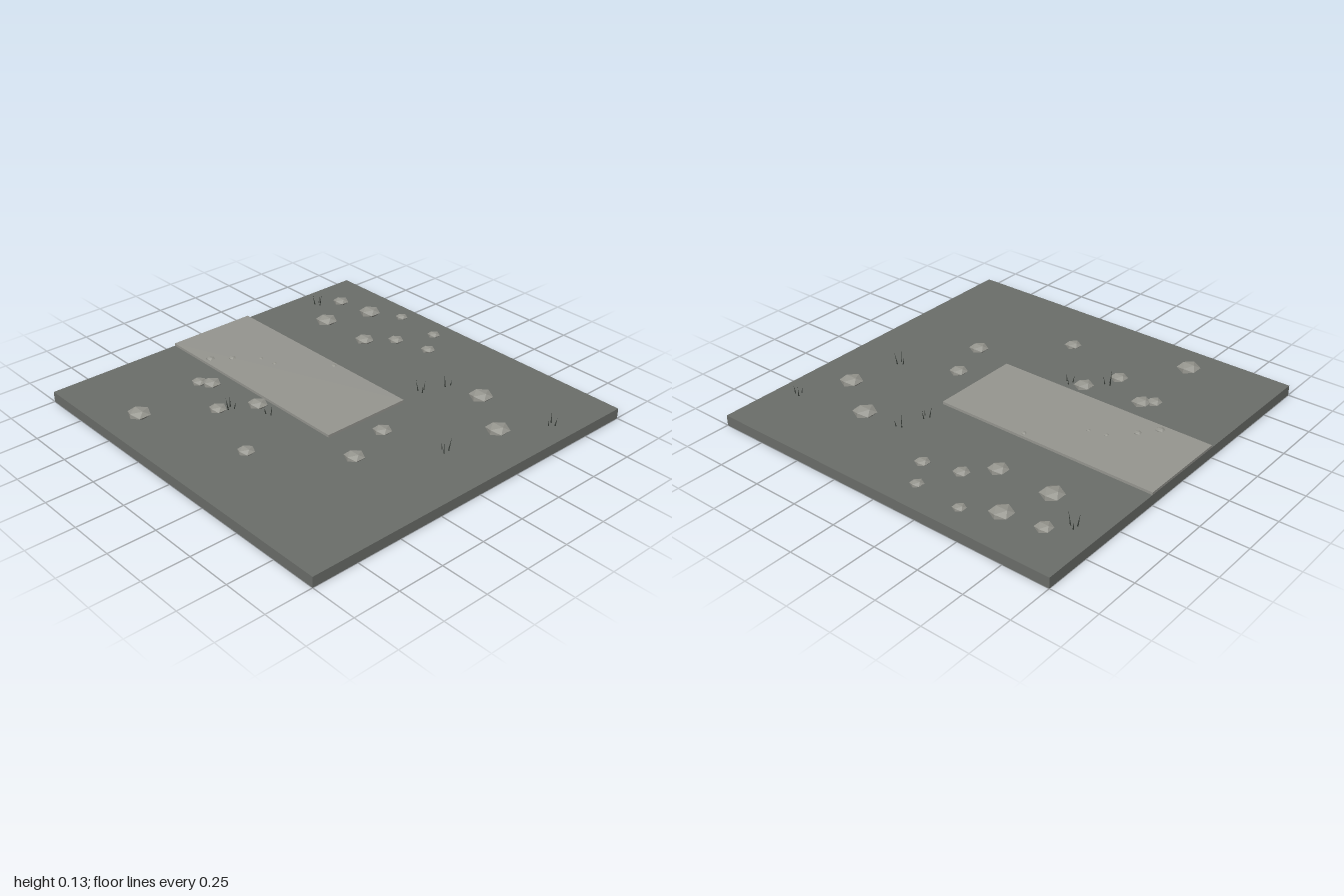
import * as THREE from 'three';

export function createModel() {
  const model = new THREE.Group();
  const material = (name, color) => {
    const m = new THREE.MeshStandardMaterial({ color, flatShading: true });
    m.name = name;
    return m;
  };
  const ground = material('dark grey ground', 0x6b6e6a);
  const paving = material('light grey paving', 0x969690);
  const stone = material('stone grey', 0x979790);
  const grass = material('dark grass', 0x353a35);
  const TOP = 0.056; // ground surface
  const PATH_TOP = 0.07;

  const add = (name, geometry, mat, x, y, z, parent = model) => {
    const mesh = new THREE.Mesh(geometry, mat);
    mesh.name = name;
    mesh.position.set(x, y, z);
    parent.add(mesh);
    return mesh;
  };

  // Ground slab and the path lying on it
  add('groundSlab', new THREE.BoxGeometry(2, TOP, 2), ground, 0, TOP / 2, 0);
  add('path', new THREE.BoxGeometry(1.25, PATH_TOP - TOP, 0.5), paving, -0.375, (TOP + PATH_TOP) / 2, 0);

  // Flattened rocks: x, z, radius
  const rockShape = new THREE.IcosahedronGeometry(1, 0);
  const rocks = [
    [-0.785, -0.76, 0.045], [-0.575, -0.79, 0.06], [-0.41, -0.88, 0.034],
    [-0.14, -0.86, 0.035], [-0.04, -0.715, 0.039], [-0.235, -0.665, 0.042],
    [-0.66, -0.54, 0.061], [-0.35, -0.54, 0.052], [0.48, -0.565, 0.063],
    [0.75, -0.39, 0.062], [0.39, 0.03, 0.049], [0.47, 0.285, 0.052],
    [-0.2, 0.32, 0.052], [-0.52, 0.365, 0.05], [-0.57, 0.405, 0.041],
    [-0.295, 0.495, 0.047], [0.1, 0.63, 0.045], [-0.515, 0.81, 0.062],
  ];
  for (const [x, z, r] of rocks) {
    add('rock', rockShape, stone, x, 0.074, z).scale.set(r, r * 0.41, r);
  }

  // Pebbles half sunk into the path
  const pebbles = [
    [-0.245, -0.225, 0.016], [-0.735, 0.21, 0.026], [-0.665, 0.12, 0.022],
    [-0.56, 0.01, 0.014], [-0.47, -0.01, 0.012],
  ];
  for (const [x, z, r] of pebbles) {
    add('pebble', rockShape, stone, x, PATH_TOP, z).scale.set(r, r * 0.41, r);
  }

  // Grass tufts: three leaning blades each, given as x, z, height
  const blade = new THREE.ConeGeometry(0.004, 1, 4);
  blade.translate(0, 0.5, 0);
  const tufts = [
    [-0.87, -0.66, 0.075], [0.275, -0.535, 0.055], [0.23, -0.395, 0.065],
    [0.88, -0.635, 0.058], [0.7, -0.08, 0.075], [-0.11, 0.32, 0.048], [-0.275, 0.43, 0.075],
  ];
  tufts.forEach(([x, z, height], i) => {
    const tuft = new THREE.Group();
    tuft.name = 'grassTuft';
    tuft.position.set(x, TOP, z);
    for (let k = 0; k < 3; k++) {
      const angle = i * 1.3 + k * 2.1;
      const b = add('grassBlade', blade, grass, Math.cos(angle) * 0.018, 0, Math.sin(angle) * 0.018, tuft);
      b.scale.y = height * (1 - k * 0.2);
      b.rotation.set(Math.sin(angle) * 0.18, 0, -Math.cos(angle) * 0.18);
    }
    model.add(tuft);
  });

  return model;
}
